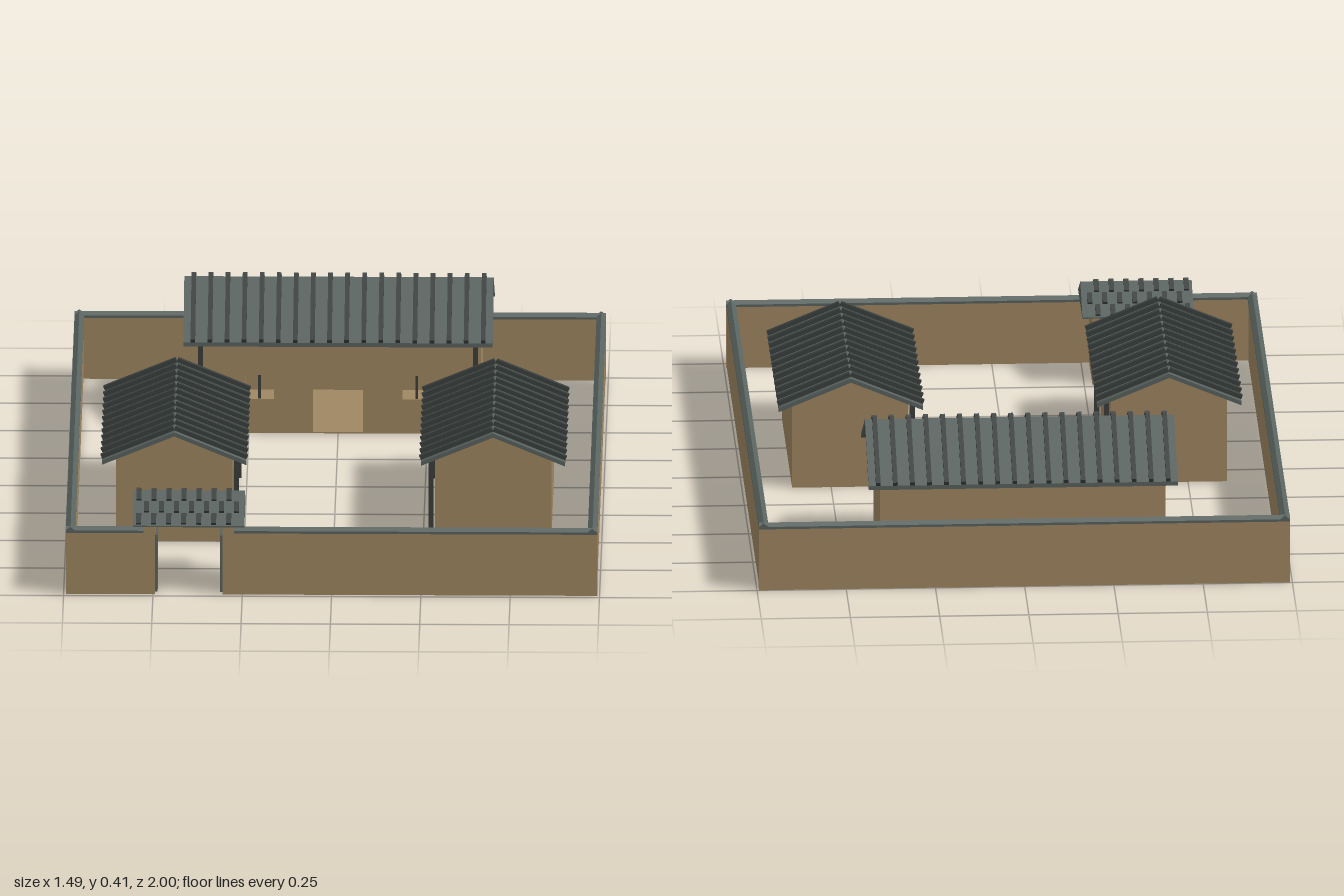
import * as THREE from 'three';

const mat = (name, color) => {
  const m = new THREE.MeshStandardMaterial({ color, flatShading: true });
  m.name = name;
  return m;
};

export function createModel() {
  const earth = mat('earth wall', 0xa08762);
  const slate = mat('slate roof', 0x58625e);
  const rib = mat('dark tile', 0x3a403e);
  const timber = mat('dark timber', 0x3c3d3b);

  const mesh = (parent, name, geo, material, x = 0, y = 0, z = 0) => {
    const m = new THREE.Mesh(geo, material);
    m.name = name;
    m.position.set(x, y, z);
    parent.add(m);
    return m;
  };
  // Box given by its minimum and maximum corners
  const box = (parent, name, material, x0, x1, y0, y1, z0, z1) =>
    mesh(parent, name, new THREE.BoxGeometry(x1 - x0, y1 - y0, z1 - z0), material,
      (x0 + x1) / 2, (y0 + y1) / 2, (z0 + z1) / 2);
  // Outline in (z, y), extruded along x and centred at the given x
  const prism = (parent, name, material, pts, width, x = 0) => {
    const shape = new THREE.Shape(pts.map(([z, y]) => new THREE.Vector2(-z, y)));
    const geo = new THREE.ExtrudeGeometry(shape, { depth: width, bevelEnabled: false });
    geo.translate(0, 0, -width / 2).rotateY(Math.PI / 2);
    return mesh(parent, name, geo, material, x);
  };
  // A strip lying on a roof slope, between two distances from the ridge
  const strip = (parent, name, x, width, thick, ridgeY, run, rise, side, from, to) => {
    const len = Math.hypot(run, rise) * (to - from);
    const t = (from + to) / 2;
    const m = mesh(parent, name, new THREE.BoxGeometry(width, thick, len), rib,
      x, ridgeY - rise * t + thick * 0.4, side * run * t);
    m.rotation.x = side * Math.atan2(rise, run);
    return m;
  };

  const model = new THREE.Group();
  model.name = 'courtyardCompound';

  // House facing +z in its own frame
  function house(name, o) {
    const g = new THREE.Group();
    g.name = name;
    const { halfW, halfD, roofHalfW, run, ridge, eave } = o;
    const rise = ridge - eave, t = 0.012, wall = 0.016;
    const top = ridge - t - (rise / run) * halfD;

    // Front wall with door and window openings
    const front = new THREE.Shape();
    front.moveTo(-halfW, 0).lineTo(halfW, 0).lineTo(halfW, top).lineTo(-halfW, top).closePath();
    const hole = (x, w, y0, y1) => {
      const p = new THREE.Path();
      p.moveTo(x - w / 2, y0).lineTo(x - w / 2, y1).lineTo(x + w / 2, y1).lineTo(x + w / 2, y0).closePath();
      front.holes.push(p);
    };
    hole(o.doorX, o.doorW, 0.004, 0.19);
    for (const x of o.windows) {
      hole(x, 0.08, 0.1, 0.17);
      box(g, 'windowBar', timber, x - 0.004, x + 0.004, 0.1, 0.17, halfD - 0.012, halfD - 0.004);
    }
    mesh(g, 'frontWall', new THREE.ExtrudeGeometry(front, { depth: wall, bevelEnabled: false }),
      earth, 0, 0, halfD - wall);
    box(g, 'backWall', earth, -halfW, halfW, 0, top, -halfD, -halfD + wall);
    box(g, 'floor', earth, -halfW + 0.002, halfW - 0.002, 0, 0.004, -halfD + 0.002, halfD - 0.002);
    for (const s of [-1, 1]) {
      prism(g, 'gableWall', earth,
        [[-halfD, 0], [halfD, 0], [halfD, top], [0, ridge - t], [-halfD, top]].reverse(),
        wall, s * (halfW - wall / 2));
      // Porch posts
      box(g, 'porchPost', timber, s * (halfW - 0.015) - 0.007, s * (halfW - 0.015) + 0.007,
        0, top - 0.003, halfD + 0.004, halfD + 0.018);
    }

    // Roof slab and raised tile ribs
    prism(g, 'roof', slate,
      [[-run, eave], [0, ridge], [run, eave], [run, eave - t], [0, ridge - t], [-run, eave - t]],
      roofHalfW * 2);
    for (let i = 0; i < o.ribs; i++) {
      const x = (i - (o.ribs - 1) / 2) * o.ribGap;
      for (const s of [-1, 1])
        strip(g, 'roofRib', x, 0.013, 0.014, ridge, run, rise, s, 0.01, 1.01);
    }
    g.position.set(o.x, 0, o.z);
    g.rotation.y = o.turn;
    model.add(g);
  }

  house('mainHouse', {
    halfW: 0.4, halfD: 0.2, roofHalfW: 0.433, run: 0.232, ridge: 0.396, eave: 0.276,
    ribs: 18, ribGap: 0.0478, doorX: 0, doorW: 0.14, windows: [-0.22, 0.22],
    x: 0, z: -0.687, turn: 0,
  });
  for (const s of [-1, 1])
    house(s < 0 ? 'rightSideHouse' : 'leftSideHouse', {
      halfW: 0.3, halfD: 0.163, roofHalfW: 0.335, run: 0.202, ridge: 0.331, eave: 0.247,
      ribs: 12, ribGap: 0.0565, doorX: -0.03, doorW: 0.12, windows: [-0.19],
      x: s * 0.446, z: 0.2, turn: -s * Math.PI / 2,
    });

  // Boundary wall with ridged coping
  const X = 0.744, Z0 = -1, Z1 = 0.986, W = 0.027, H = 0.18;
  function wallRun(name, length, x, z, turn) {
    const g = new THREE.Group();
    g.name = name;
    box(g, 'wall', earth, -length / 2, length / 2, 0, H, -W / 2 + 0.002, W / 2 - 0.002);
    prism(g, 'coping', slate,
      [[-W / 2, H], [-W / 2, H + 0.007], [0, H + 0.016], [W / 2, H + 0.007], [W / 2, H]], length);
    g.position.set(x, 0, z);
    g.rotation.y = turn;
    model.add(g);
  }
  const gx0 = -0.527, gx1 = -0.273;
  wallRun('backBoundary', X * 2, 0, Z0 + W / 2, 0);
  wallRun('frontBoundaryLeft', X - gx1, (X + gx1) / 2, Z1 - W / 2, 0);
  wallRun('frontBoundaryRight', gx0 + X, (gx0 - X) / 2, Z1 - W / 2, 0);
  for (const s of [-1, 1])
    wallRun('sideBoundary', Z1 - Z0, s * (X - W / 2), (Z0 + Z1) / 2, Math.PI / 2);

  // Gatehouse: two piers, open door leaves, lintel and tiled roof
  const gate = new THREE.Group();
  gate.name = 'gatehouse';
  gate.position.set(-0.4, 0, 0.872);
  model.add(gate);
  for (const s of [-1, 1]) {
    const span = (a, b) => (s < 0 ? [-b, -a] : [a, b]);
    box(gate, 'gatePier', earth, ...span(0.094, 0.127), 0, 0.205, -0.106, 0.112);
    box(gate, 'gateLeaf', slate, ...span(0.087, 0.0945), 0.004, 0.17, 0.005, 0.1);
  }
  box(gate, 'gateLintel', slate, -0.094, 0.094, 0.168, 0.205, -0.015, 0.015);
  const run = 0.127, ridge = 0.27, eave = 0.206;
  prism(gate, 'gateRoof', slate,
    [[-run, 0.202], [-run, eave], [0, ridge], [run, eave], [run, 0.202]], 0.312);
  for (let row = 0; row < 3; row++)
    for (let i = 0; i < 7; i++) {
      const x = -0.14 + i * 0.042 + (row % 2) * 0.021;
      for (const s of [-1, 1])
        strip(gate, 'gateTile', x, 0.014, 0.008, ridge, run, ridge - eave, s, row / 3 + 0.03, row / 3 + 0.31);
    }

  return model;
}
